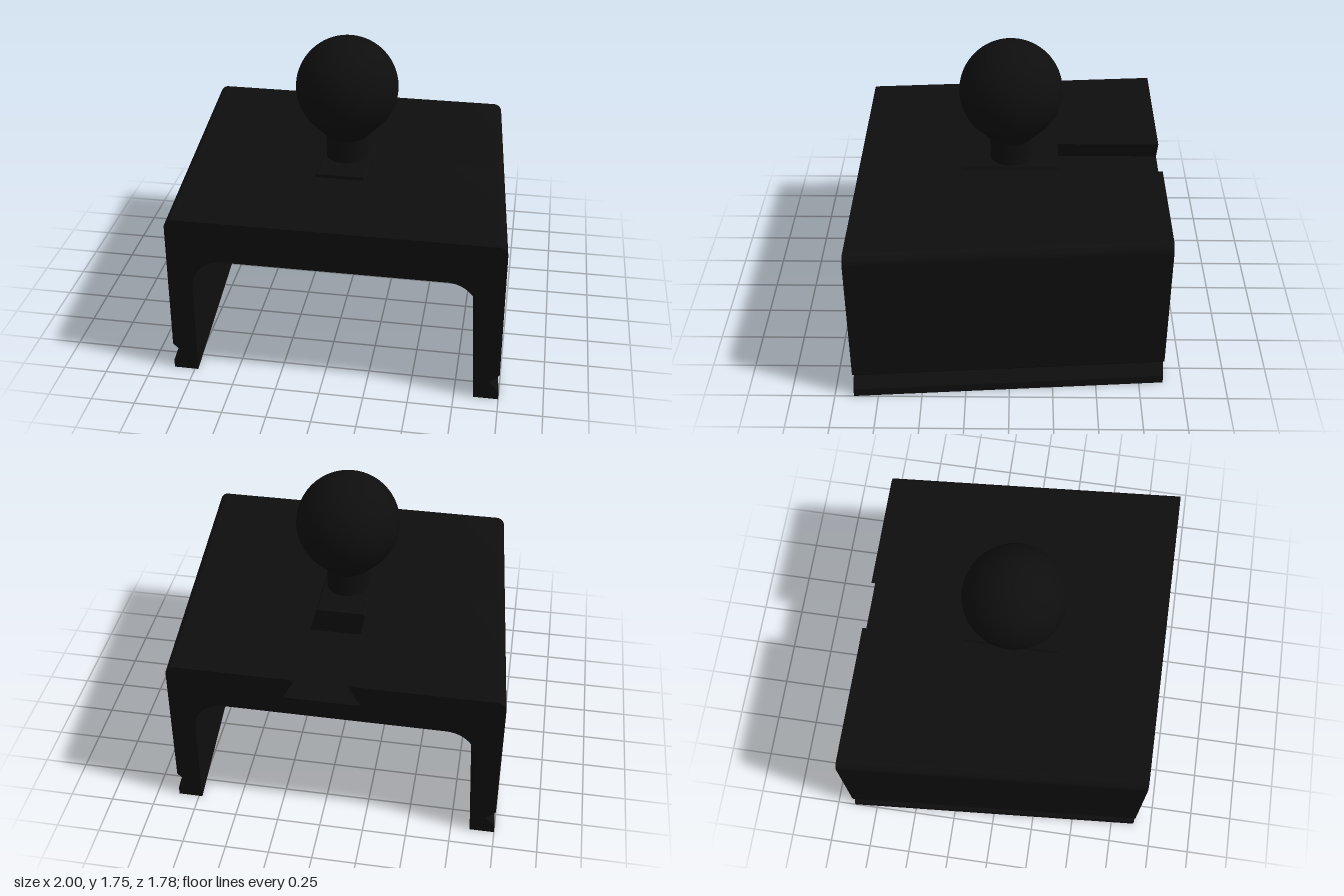
import * as THREE from 'three';
import { toCreasedNormals } from 'three/addons/utils/BufferGeometryUtils.js';

const black = new THREE.MeshStandardMaterial({ color: 0x0e0e0e });
black.name = 'black';

const HALF_Z = 0.89, SKEW = 0.073;      // half length, sideways skew per unit of z
const OUT = 0.935, IN = 0.795;          // outer and inner half width
const TOP = 0.99, CEIL = 0.745;         // deck top and underside
const SLOT = { top: 0.145, bottom: 0.215, floor: 0.86 };

// Arch section with rounded shoulders, V grooves and an optional dovetail slot
function archShape(withSlot) {
  const s = new THREE.Shape();
  const r = 0.05, ri = 0.175;
  s.moveTo(IN, 0);
  s.lineTo(OUT, 0);
  s.lineTo(OUT, 0.05);
  s.lineTo(OUT - 0.055, 0.11);
  s.lineTo(OUT, 0.165);
  s.lineTo(OUT, TOP - r);
  s.absarc(OUT - r, TOP - r, r, 0, Math.PI / 2, false);
  if (withSlot) {
    s.lineTo(SLOT.top, TOP);
    s.lineTo(SLOT.bottom, SLOT.floor);
    s.lineTo(-SLOT.bottom, SLOT.floor);
    s.lineTo(-SLOT.top, TOP);
  }
  s.lineTo(-OUT + r, TOP);
  s.absarc(-OUT + r, TOP - r, r, Math.PI / 2, Math.PI, false);
  s.lineTo(-OUT, 0.165);
  s.lineTo(-OUT + 0.055, 0.11);
  s.lineTo(-OUT, 0.05);
  s.lineTo(-OUT, 0);
  s.lineTo(-IN, 0);
  s.lineTo(-IN, CEIL - ri);
  s.absarc(-IN + ri, CEIL - ri, ri, Math.PI, Math.PI / 2, true);
  s.lineTo(IN - ri, CEIL);
  s.absarc(IN - ri, CEIL - ri, ri, Math.PI / 2, 0, true);
  s.closePath();
  return s;
}

// Extrude a section between two z values
function extrude(shape, z0, z1) {
  const g = new THREE.ExtrudeGeometry(shape, { depth: z1 - z0, bevelEnabled: false, curveSegments: 12 });
  return g.translate(0, 0, z0);
}

// Skew the bracket along z, leaving the central slot straight
function skewed(g) {
  const p = g.attributes.position;
  for (let i = 0; i < p.count; i++) {
    if (Math.abs(p.getX(i)) > 0.3) p.setX(i, p.getX(i) + SKEW * p.getZ(i));
  }
  g.computeVertexNormals();
  return toCreasedNormals(g, 0.5);
}

export function createModel() {
  const group = new THREE.Group();
  const add = (name, geometry) => {
    const mesh = new THREE.Mesh(geometry, black);
    mesh.name = name;
    group.add(mesh);
  };

  // Bracket: plain front half, slotted back half
  add('bracketFront', skewed(extrude(archShape(false), 0, HALF_Z)));
  add('bracketBack', skewed(extrude(archShape(true), -HALF_Z, 0)));

  // Dovetail plate seated in the slot, standing slightly proud of the deck
  const plate = new THREE.Shape([
    [-SLOT.bottom, SLOT.floor], [SLOT.bottom, SLOT.floor], [SLOT.top, TOP],
    [SLOT.top - 0.01, 1.01], [-SLOT.top + 0.01, 1.01], [-SLOT.top, TOP],
  ].map(([x, y]) => new THREE.Vector2(x, y)));
  add('slidingPlate', extrude(plate, -0.28, 0.28));

  // Neck, flared collar and ball turned as one profile
  const R = 0.297, CY = 1.45;
  const profile = [[0.122, 1.0], [0.12, 1.08], [0.123, 1.15]];
  const steps = 32, start = -Math.PI / 4;
  for (let i = 0; i <= steps; i++) {
    const a = start + (Math.PI / 2 - start) * i / steps;
    profile.push([Math.max(0, R * Math.cos(a)), CY + R * Math.sin(a)]);
  }
  const ball = new THREE.LatheGeometry(profile.map(([x, y]) => new THREE.Vector2(x, y)), 64);
  add('ballStud', toCreasedNormals(ball, 0.5));

  return group;
}
